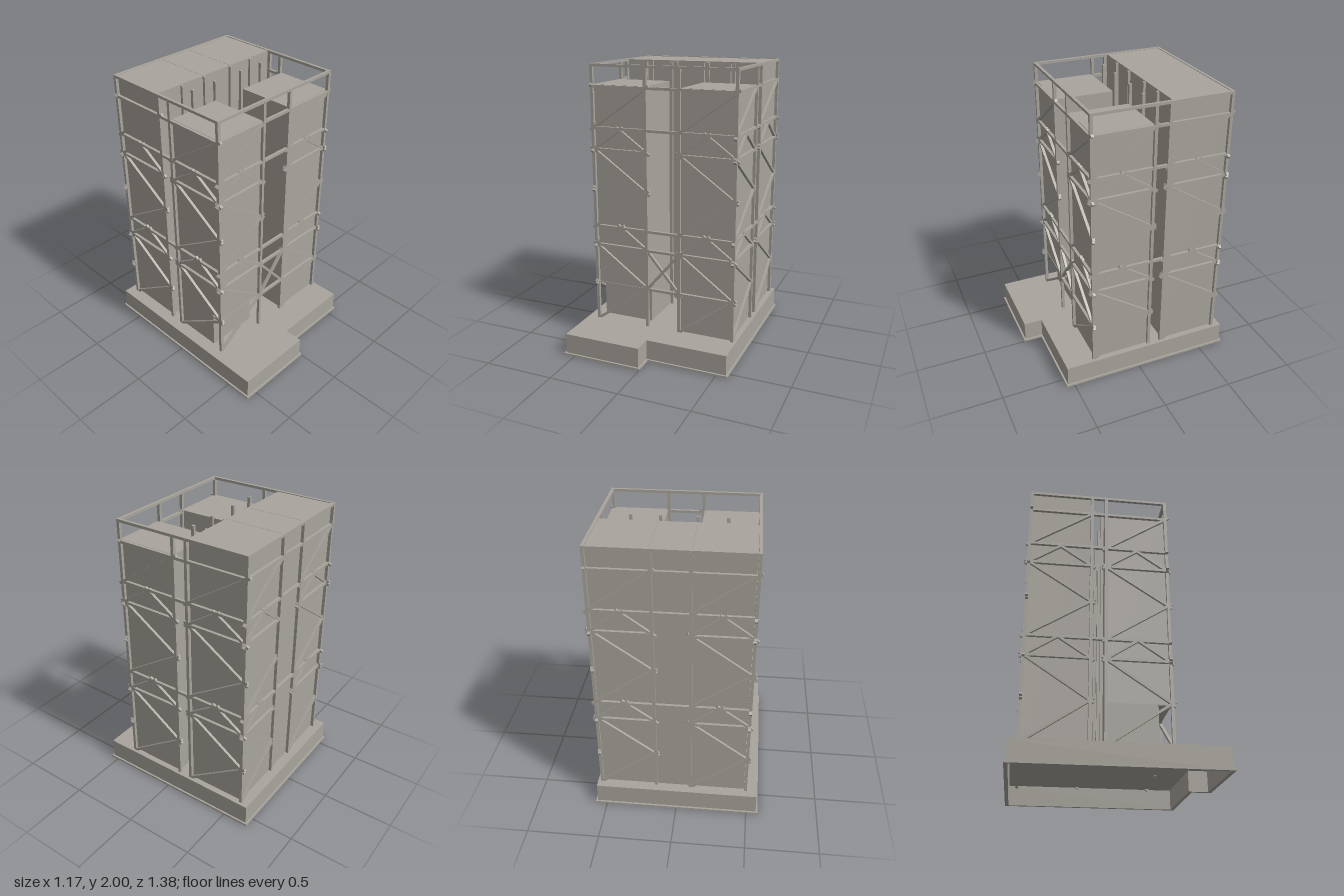
import * as THREE from 'three';

const T = 0.021; // member thickness
const BASE = 0.155; // deck height
// Column lines of the frame
const XS = [-0.489, -0.095, 0.147, 0.539];
const ZS = [0.337, -0.087, -0.186, -0.615];

export function createModel() {
  const model = new THREE.Group();
  const concrete = new THREE.MeshStandardMaterial({ color: 0xa9a59d });
  concrete.name = 'warm grey';

  const add = (parent, name, geometry) => {
    const mesh = new THREE.Mesh(geometry, concrete);
    mesh.name = name;
    parent.add(mesh);
    return mesh;
  };
  // Box from its minimum and maximum on each axis
  const block = (parent, name, x0, x1, y0, y1, z0, z1) => {
    const m = add(parent, name, new THREE.BoxGeometry(x1 - x0, y1 - y0, z1 - z0));
    m.position.set((x0 + x1) / 2, (y0 + y1) / 2, (z0 + z1) / 2);
    return m;
  };
  const group = (name) => {
    const g = new THREE.Group();
    g.name = name;
    model.add(g);
    return g;
  };

  // Base: hollow notched plinth, open underneath
  const base = group('base');
  const outline = (o) => [
    [-0.57 - o, -0.678 - o], [0.57 + o, -0.678 - o], [0.57 + o, 0.545 + o],
    [-0.01 + o, 0.545 + o], [-0.01 + o, 0.678 + o], [-0.57 - o, 0.678 + o],
  ].map(([x, z]) => new THREE.Vector2(x, z));
  const slab = (name, outer, inner, y0, y1) => {
    const shape = new THREE.Shape(outline(outer));
    if (inner !== null) shape.holes.push(new THREE.Path(outline(inner).reverse()));
    const g = new THREE.ExtrudeGeometry(shape, { depth: y1 - y0, bevelEnabled: false });
    g.rotateX(Math.PI / 2).translate(0, y1, 0);
    add(base, name, g);
  };
  slab('deck', 0, null, BASE - 0.012, BASE);
  slab('plinthWall', 0, -0.012, 0, BASE - 0.012);
  slab('footFlange', 0.013, -0.012, 0, 0.014);

  // Solid volumes: two at the front, three taller ones at the back
  const volumes = group('volumes');
  block(volumes, 'frontLeftVolume', 0.155, 0.529, BASE, 1.86, -0.08, 0.326);
  block(volumes, 'frontRightVolume', -0.478, -0.102, 0.435, 1.86, -0.08, 0.326);
  block(volumes, 'recessedGroundFloor', -0.478, -0.102, BASE, 0.435, -0.08, 0.25);
  const splits = [-0.478, -0.098, 0.152, 0.529];
  for (let i = 0; i < 3; i++) {
    block(volumes, 'rearVolume', splits[i] + 0.001, splits[i + 1] - 0.001, BASE, 1.995, -0.605, -0.2);
  }

  // Perimeter columns and the posts lining the central passage
  const columns = group('columns');
  const column = (name, x, z, w = T) =>
    block(columns, name, x - w / 2, x + w / 2, BASE, 1.99, z - w / 2, z + w / 2);
  for (const x of XS) for (const z of [ZS[0], ZS[3]]) column('column', x, z);
  for (const z of [ZS[1], ZS[2]]) {
    for (const x of [XS[0], XS[3]]) column('sideColumn', x, z);
    for (const x of [-0.285, -0.09, 0.148, 0.342]) column('passagePost', x, z - 0.006, 0.02);
  }

  // Straight member between two points, running a little past both ends
  const member = (parent, name, a, b, extra, w, d) => {
    const along = b.clone().sub(a);
    const m = add(parent, name, new THREE.BoxGeometry(w, along.length() + 2 * extra, d));
    m.position.copy(a).add(b).multiplyScalar(0.5);
    m.rotation.z = Math.atan2(-along.x, along.y);
    return m;
  };

  // Bracing of one face, drawn flat: u runs left to right seen from outside
  const braceFace = (name, us) => {
    const face = group(name);
    const P = (u, y) => new THREE.Vector3(u, y, 0);
    const beam = (u0, u1, y) => member(face, 'beam', P(u0, y), P(u1, y), T / 2, 0.018, T * 0.96);
    const brace = (u0, y0, u1, y1) =>
      member(face, 'brace', P(u0, y0), P(u1, y1), 0.029, 0.018, T * 0.9);

    for (const y of [1.99, 1.85, 1.57, 0.868]) beam(us[0], us[3], y);
    for (const [a, b] of [[us[0], us[1]], [us[2], us[3]]]) {
      const mid = (a + b) / 2;
      for (const y of [1.42, 0.728]) {
        beam(a, b, y);
        // chevron in the shallow storey
        brace(a, y, mid, y + 0.142);
        brace(b, y, mid, y + 0.142);
      }
      // K-braces in the tall storeys
      brace(a, BASE - 0.005, b, 0.44);
      brace(b, 0.44, a, 0.728);
      brace(a, 0.868, b, 1.142);
      brace(b, 1.142, a, 1.42);
      brace(a, 1.57, b, 1.85);
    }
    return { face, beam, brace };
  };

  const front = braceFace('frontFrame', XS);
  front.face.position.z = ZS[0];
  // Portal bracing over the entrance
  front.beam(XS[1], XS[2], 0.728);
  front.beam(XS[1], XS[3], 0.44);
  front.brace(XS[1], 0.44, XS[2], 0.728);
  front.brace(XS[2], 0.44, XS[1], 0.728);

  const rear = braceFace('rearFrame', XS.map((x) => -x).reverse());
  rear.face.rotation.y = Math.PI;
  rear.face.position.z = ZS[3];

  const left = braceFace('leftFrame', ZS.map((z) => -z));
  left.face.rotation.y = Math.PI / 2;
  left.face.position.x = XS[3];

  const right = braceFace('rightFrame', [...ZS].reverse());
  right.face.rotation.y = -Math.PI / 2;
  right.face.position.x = XS[0];

  // Thin sill under the overhang and a small fitting in the passage
  block(model, 'overhangSill', XS[0], XS[1], 0.428, 0.438, 0.25, 0.33);
  block(model, 'passageFitting', 0.053, 0.065, 0.285, 0.307, -0.06, -0.05);

  return model;
}
